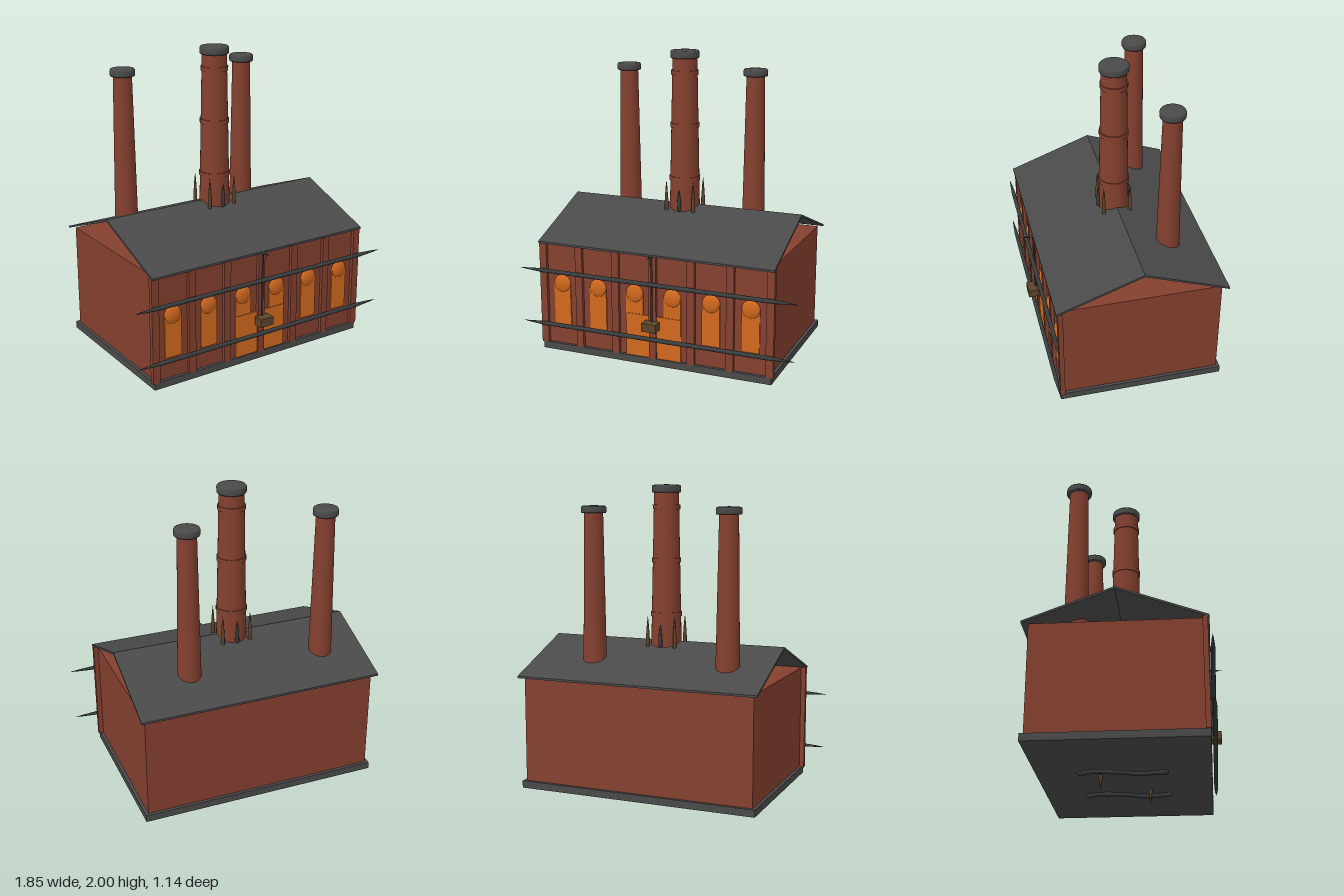
import * as THREE from 'three';

const mat = (name, color, side = THREE.FrontSide) => {
  const m = new THREE.MeshStandardMaterial({ color, side });
  m.name = name;
  return m;
};

export function createModel() {
  const brick = mat('brick', 0x84402f);
  const slate = mat('slate', 0x4a4a4a);
  const iron = mat('iron', 0x383c3c);
  const glow = mat('glowing orange', 0xd2691e);
  const bronze = mat('bronze', 0x5c452a);

  const model = new THREE.Group();
  model.name = 'factory';
  const CX = -0.02, CZ = -0.037, FRONT = 0.463;

  const add = (name, geo, m, x = 0, y = 0, z = 0, parent = model) => {
    const mesh = new THREE.Mesh(geo, m);
    mesh.name = name;
    mesh.position.set(x, y, z);
    parent.add(mesh);
    return mesh;
  };
  const box = (name, w, h, d, m, x, y, z) => add(name, new THREE.BoxGeometry(w, h, d), m, x, y, z);
  const lathe = (pts, n = 32) => new THREE.LatheGeometry(pts.map(p => new THREE.Vector2(...p)), n);

  // Base slab and hall
  box('base', 1.54, 0.045, 1.04, slate, CX, 0.1225, CZ);
  box('hall', 1.5, 0.67, 1.0, brick, CX, 0.478, CZ);

  // Thin gabled roof with open ends
  const s = new THREE.Shape([
    [-0.535, 0.807], [0, 1.006], [0.535, 0.807], [0.535, 0.82], [0, 1.02], [-0.535, 0.82],
  ].map(p => new THREE.Vector2(...p)));
  const roof = new THREE.ExtrudeGeometry(s, { depth: 1.56, bevelEnabled: false });
  roof.translate(0, 0, -0.78).rotateY(Math.PI / 2);
  add('roof', roof, slate, CX, 0, -0.04);

  // Front pilasters
  for (let i = -3; i <= 3; i++) {
    box('pilaster', 0.048, 0.67, 0.03, brick, CX + i * 0.252, 0.478, 0.47);
  }

  // Arched windows with shallow domed heads
  for (let i = 0; i < 6; i++) {
    const x = CX + (i - 2.5) * 0.252;
    box('window', 0.115, 0.27, 0.009, glow, x, 0.415, FRONT + 0.003);
    const head = add('windowHead', new THREE.SphereGeometry(0.058, 24, 16), glow, x, 0.55, FRONT);
    head.scale.z = 0.35;
  }

  // Double door
  for (const side of [-1, 1]) {
    box('door', 0.18, 0.275, 0.009, glow, CX + side * 0.0925, 0.2825, FRONT + 0.007);
  }

  // Pointed pipes running across the front
  for (const [y, half] of [[0.635, 0.925], [0.28, 0.912]]) {
    const rail = lathe([[0, -half], [0.006, -half + 0.06], [0.013, -half + 0.17],
      [0.014, 0], [0.013, half - 0.17], [0.006, half - 0.06], [0, half]], 16);
    rail.rotateZ(Math.PI / 2);
    add('frontPipe', rail, iron, -0.005, y, 0.508);
  }

  // Lamp box with its rod and the spike at the eaves
  box('lampBox', 0.095, 0.053, 0.065, bronze, CX, 0.367, 0.515);
  add('lampRod', new THREE.CylinderGeometry(0.006, 0.006, 0.43, 10), iron, CX, 0.605, 0.493);
  const spike = add('eavesSpike', new THREE.ConeGeometry(0.012, 0.09, 10), iron, CX, 0.812, 0.52);
  spike.rotation.x = Math.PI / 2;

  // Chimneys: tapered shaft and soft rounded cap
  const chimney = (name, x, z, top, r0, r1, capR, capH) => {
    const g = new THREE.Group();
    g.name = name;
    g.position.set(x, 0, z);
    model.add(g);
    add('shaft', new THREE.CylinderGeometry(r1, r0, top - 0.83, 32, 1, true), brick, 0, (top + 0.79) / 2, 0, g);
    add('cap', lathe([[0, top - capH], [capR * 0.96, top - capH], [capR, top - capH + 0.006],
      [capR, top - 0.012], [capR * 0.94, top - 0.004], [capR * 0.5, top - 0.001], [0, top]]), slate, 0, 0, 0, g);
    return g;
  };
  const main = chimney('mainChimney', CX, -0.04, 2, 0.1, 0.077, 0.091, 0.05);
  for (const [y, r] of [[1.86, 0.086], [1.53, 0.092], [1.19, 0.098]]) {
    add('band', new THREE.CylinderGeometry(r, r, 0.028, 32), brick, 0, y, 0, main);
  }
  add('flaredFoot', new THREE.CylinderGeometry(0.098, 0.17, 0.08, 32), brick, 0, 0.855, 0, main);
  for (const x of [-0.525, 0.36]) {
    chimney('rearChimney', x, -0.295, 1.872, 0.075, 0.058, 0.078, 0.047);
  }

  // Small blocks under the roof
  box('innerBlock', 0.06, 0.06, 0.06, brick, CX, 0.89, -0.125);
  box('innerBlock', 0.06, 0.07, 0.06, brick, CX, 0.848, -0.208);

  // Pointed struts around the main chimney
  for (const [x, z] of [[-0.092, 0.085], [0.092, 0.085], [-0.092, -0.085], [0.092, -0.085], [0, 0.1], [0, -0.1]]) {
    const h = x === 0 ? 0.16 : 0.25;
    const strut = lathe([[0, 0], [0.013, 0.02], [0.012, h * 0.45], [0.006, h * 0.8], [0, h]], 10);
    add('strut', strut, x === 0 ? iron : bronze, x, x === 0 ? 0.975 : 0.93, z, main);
  }

  // Shallow round plate under the base
  add('underPlate', lathe([[0, 0.095], [0.25, 0.096], [0.43, 0.098], [0.435, 0.101]], 48), slate, CX, 0, CZ);

  // Wavy bars and downward spikes beneath the plate
  for (const side of [-1, 1]) {
    const pts = [-0.25, -0.17, -0.08, 0, 0.08, 0.17, 0.25].map((t, i) => new THREE.Vector3(
      side * (0.225 + 0.03 * Math.sin(t * 12)), 0.084 + (i % 2 ? 0.004 : 0), t * side));
    const bar = new THREE.TubeGeometry(new THREE.CatmullRomCurve3(pts), 40, 0.014, 8);
    add('wavyBar', bar, iron, CX, 0, CZ);
    for (const t of [0, 6]) {
      add('barEnd', new THREE.SphereGeometry(0.017, 10, 8), iron, CX + pts[t].x, 0.086, CZ + pts[t].z);
    }
    const tip = add('downSpike', new THREE.ConeGeometry(0.014, 0.1, 10), bronze,
      CX + side * 0.155, 0.05, CZ + side * 0.138);
    tip.rotation.x = Math.PI;
  }

  return model;
}
